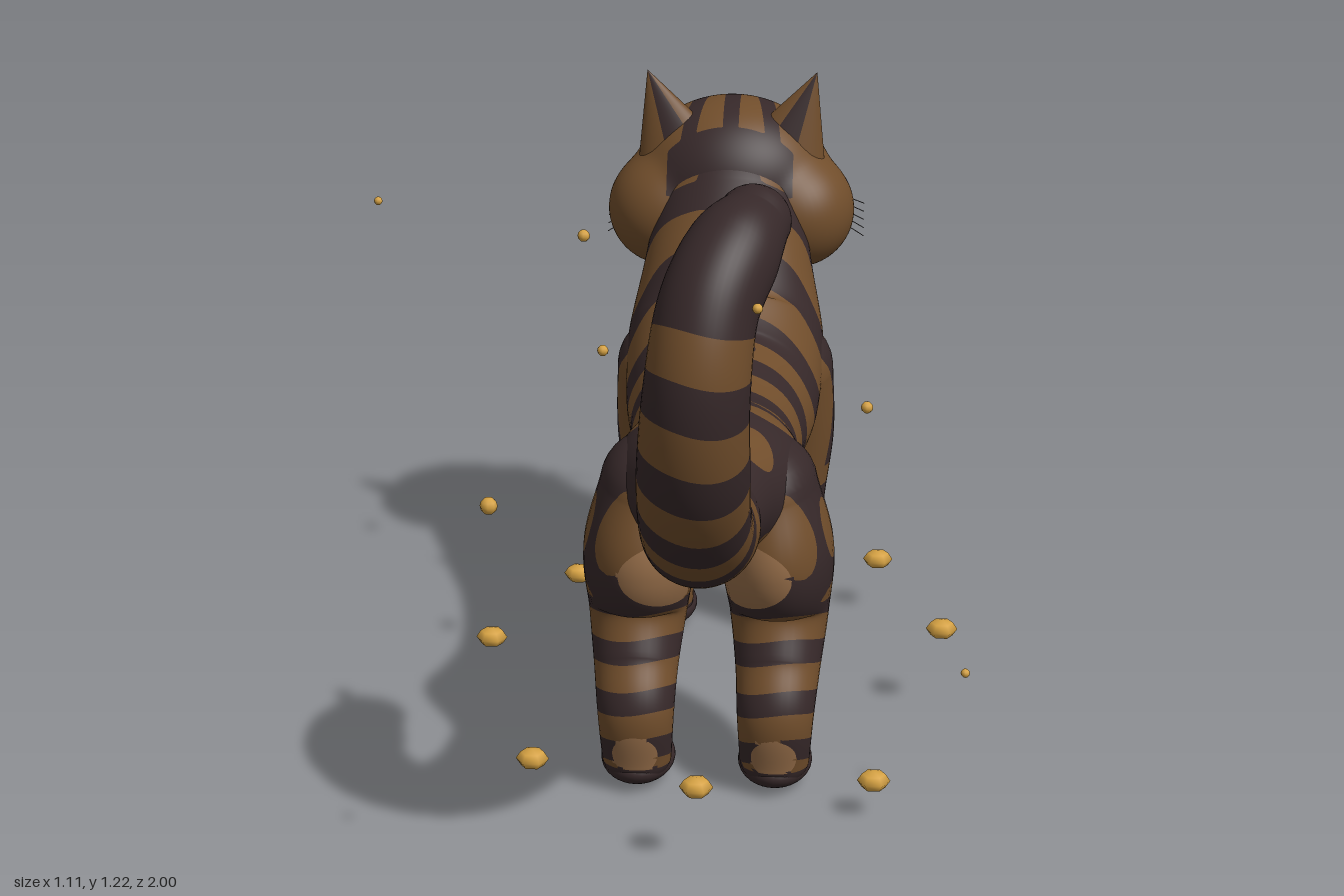
import * as THREE from 'three';
import { mergeVertices } from 'three/addons/utils/BufferGeometryUtils.js';

const CX = 0.097; // the cat's own midline
const flat = (name, color) => {
  const m = new THREE.MeshStandardMaterial({ color });
  m.name = name;
  return m;
};
const fur = flat('brown fur', 0x704d2b);
const stripe = flat('dark stripe', 0x362829);
const tan = flat('tan underside', 0x946c48);
const white = flat('white bib', 0xddd8d0);
const gold = flat('gold', 0xd6a243);
const eyeYellow = flat('eye yellow', 0xeab63c);
const pupil = flat('pupil black', 0x141010);
const pink = flat('nose pink', 0x8a564c);
const grey = flat('whisker grey', 0x555050);
const COAT = [fur, stripe, tan, white];

// Sort triangles into coat colours, cutting those that straddle a colour edge
function paint(geo, rule) {
  const idx = geo.index.array, { position, normal } = geo.attributes;
  const kind = (v) => rule(v.x - CX, v.y, v.z);
  const verts = Array.from({ length: position.count }, (_, i) => {
    const v = new THREE.Vector3().fromBufferAttribute(position, i);
    return { v, n: new THREE.Vector3().fromBufferAttribute(normal, i), k: kind(v) };
  });
  const cut = (a, b) => {
    let lo = 0, hi = 1;
    for (let i = 0; i < 8; i++) {
      const mid = (lo + hi) / 2;
      if (kind(a.v.clone().lerp(b.v, mid)) === a.k) lo = mid; else hi = mid;
    }
    return { v: a.v.clone().lerp(b.v, lo), n: a.n.clone().lerp(b.n, lo).normalize() };
  };
  const bins = COAT.map(() => []);
  for (let i = 0; i < idx.length; i += 3) {
    let [a, b, c] = [verts[idx[i]], verts[idx[i + 1]], verts[idx[i + 2]]];
    for (let r = 0; r < 2 && b.k !== c.k; r++) [a, b, c] = [b, c, a];
    if (a.k === b.k || b.k !== c.k) bins[a.k].push(a, b, c);
    else {
      const p = cut(a, b), q = cut(a, c);
      bins[a.k].push(a, p, q);
      bins[b.k].push(p, b, c, p, c, q);
    }
  }
  const out = new THREE.BufferGeometry(), all = bins.flat();
  out.setAttribute('position', new THREE.Float32BufferAttribute(all.flatMap((o) => o.v.toArray()), 3));
  out.setAttribute('normal', new THREE.Float32BufferAttribute(all.flatMap((o) => o.n.toArray()), 3));
  let start = 0;
  bins.forEach((bin, m) => {
    if (bin.length) out.addGroup(start, bin.length, m);
    start += bin.length;
  });
  return out;
}

// Smooth limb with round ends; each point is [dx, y, z, half width, half depth]
function limb(points, steps, sides) {
  const path = new THREE.CatmullRomCurve3(points.map((p) => new THREE.Vector3(CX + p[0], p[1], p[2])), false, 'catmullrom');
  const size = new THREE.CatmullRomCurve3(points.map((p) => new THREE.Vector3(p[3], p[4], 0)), false, 'catmullrom');
  const pos = [], idx = [], rings = [], CAP = 8;
  for (let k = 0; k < CAP; k++) rings.push([0, -Math.PI / 2 * (1 - k / CAP) * 0.99]);
  for (let i = 0; i <= steps; i++) rings.push([i / steps, 0]);
  for (let k = 1; k <= CAP; k++) rings.push([1, Math.PI / 2 * (k / CAP) * 0.99]);
  for (const [t, a] of rings) {
    const T = path.getTangent(t), r = size.getPoint(t), c = path.getPoint(t);
    const S = new THREE.Vector3(1, 0, 0).addScaledVector(T, -T.x).normalize();
    const U = T.clone().cross(S);
    c.addScaledVector(T, Math.sin(a) * Math.min(r.x, r.y));
    for (let j = 0; j < sides; j++) {
      const q = (j / sides) * Math.PI * 2;
      const v = c.clone().addScaledVector(S, Math.cos(q) * r.x * Math.cos(a)).addScaledVector(U, Math.sin(q) * r.y * Math.cos(a));
      pos.push(v.x, v.y, v.z);
    }
  }
  for (let i = 0; i < rings.length - 1; i++) for (let j = 0; j < sides; j++) {
    const a = i * sides + j, b = i * sides + (j + 1) % sides;
    idx.push(a, b, a + sides, b, b + sides, a + sides);
  }
  const g = new THREE.BufferGeometry();
  g.setAttribute('position', new THREE.Float32BufferAttribute(pos, 3));
  g.setIndex(idx);
  g.computeVertexNormals();
  return g;
}

// Head: a sphere pushed out to a soft union of skull, cheek and muzzle ellipsoids
function headGeometry() {
  const origin = new THREE.Vector3(0, 0.84, -0.72);
  const lobes = [[0, 0.86, -0.73, 0.19, 0.16, 0.163], [0.125, 0.81, -0.69, 0.112, 0.112, 0.115],
    [-0.125, 0.81, -0.69, 0.112, 0.112, 0.115], [0, 0.785, -0.835, 0.092, 0.058, 0.07]];
  let g = new THREE.SphereGeometry(1, 108, 80);
  g.deleteAttribute('uv');
  g.deleteAttribute('normal');
  g = mergeVertices(g);
  const p = g.attributes.position, d = new THREE.Vector3();
  for (let i = 0; i < p.count; i++) {
    d.fromBufferAttribute(p, i).normalize();
    let sum = 0;
    for (const [x, y, z, rx, ry, rz] of lobes) {
      const r = new THREE.Vector3(rx, ry, rz);
      const o = origin.clone().sub(new THREE.Vector3(x, y, z)).divide(r), e = d.clone().divide(r);
      const A = e.dot(e), B = o.dot(e), disc = B * B - A * (o.dot(o) - 1);
      if (disc > 0) sum += Math.exp(100 * (-B + Math.sqrt(disc)) / A);
    }
    d.multiplyScalar(Math.log(sum) / 100).add(origin);
    p.setXYZ(i, d.x + CX, d.y, d.z);
  }
  g.computeVertexNormals();
  return g;
}

const ball = (dx, y, z, rx, ry, rz, n) =>
  new THREE.SphereGeometry(1, n, Math.round(n * 0.75)).scale(rx, ry, rz).translate(CX + dx, y, z);
const inOval = (a, b, ra, rb) => (a / ra) ** 2 + (b / rb) ** 2 < 1;
const band = (s, period, cut) => Math.cos((2 * Math.PI * s) / period) > cut;
const underTail = (ax, y, z) => z > 0.15 && inOval(ax, y - 0.42, 0.15, 0.075);

// Coat rules
function bodyCoat(dx, y, z) {
  const ax = Math.abs(dx), front = z < -0.55 - 0.6 * (y - 0.47);
  if (front && y > 0.48 && ax < 0.05) return 3;
  if ((front && y > 0.46 && ax < 0.085) || underTail(ax, y, z)) return 2;
  if (z > -0.42 && (y < 0.425 + 0.015 * Math.sin(34 * z) || inOval(z + 0.28, y - 0.45, 0.03, 0.04) || inOval(z + 0.36, y - 0.44, 0.025, 0.04))) return 2;
  if (ax < 0.045 + 0.02 * Math.sin(42 * z) && y > 0.6 && z > -0.62 + (y - 0.7) * 0.1) return 1;
  if (z > 0.02 && y > 0.45) return inOval(ax - 0.1, z - 0.08, 0.045, 0.03) || inOval(ax - 0.08, z - 0.22, 0.035, 0.05) ? 0 : 1;
  const s = z - 0.24 * (y - 0.55) + 0.05 + 0.014 * Math.sin(24 * y + 9 * z);
  return band(s, 0.145, y > 0.48 ? 0.1 : 0.4) ? 1 : 0;
}
function hindCoat(dx, y, z) {
  const ax = Math.abs(dx);
  if (y < 0.05) return 1;
  if (underTail(ax, y, z) || (z > 0.2 && inOval(ax - 0.122, y - 0.08, 0.04, 0.04))) return 2;
  if (y > 0.34 + 0.15 * (z - 0.1)) {
    const spot = inOval(z - 0.14, y - 0.48, 0.035, 0.055) || inOval(z - 0.24, y - 0.5, 0.035, 0.08)
      || inOval(z, y - 0.4, 0.02, 0.06) || inOval(z - 0.13, y - 0.35, 0.05, 0.025);
    return spot ? 0 : 1;
  }
  return band(y - 0.25 * (z - 0.15) - 0.16 + 0.006 * Math.sin(30 * dx), 0.09, 0.1) ? 1 : 0;
}
function foreCoat(dx, y, z) {
  if (y < 0.055) return 1;
  if (y > 0.36) return bodyCoat(dx, Math.max(y, 0.49), z);
  return band(y + 0.15 * (z + 0.53) - 0.12 + 0.006 * Math.sin(30 * dx), 0.09, 0.1) ? 1 : 0;
}
function headCoat(dx, y, z) {
  const ax = Math.abs(dx);
  if (y < 0.79 - 0.4 * ax && ax < 0.05 && z < -0.7) return 3;
  const streak = Math.min(ax, Math.abs(ax - 0.055 - 0.15 * (z + 0.8)));
  if (y > 0.92 && z > -0.83 && streak < 0.015) return 1;
  if (ax < 0.12 && z > -0.63 && y > 0.86) return 1;
  if (ax > 0.09 && z > -0.86 && z < -0.69 && Math.abs(y - 0.85 - 0.22 * (z + 0.77)) < 0.005) return 1;
  return 0;
}

export function createModel() {
  const root = new THREE.Group();
  const add = (name, geo, mat, parent = root) => {
    const m = new THREE.Mesh(geo, mat);
    m.name = name;
    parent.add(m);
    return m;
  };
  const coated = (name, geo, rule) => add(name, paint(geo, rule), COAT);

  // Torso and neck, from rump to skull
  coated('body', limb([
    [0, 0.572, 0.36, 0.085, 0.085], [0, 0.57, 0.26, 0.12, 0.11], [0, 0.553, 0.12, 0.17, 0.137], [0, 0.535, -0.05, 0.15, 0.132],
    [0, 0.53, -0.2, 0.16, 0.143], [0, 0.535, -0.36, 0.18, 0.163], [0, 0.61, -0.5, 0.185, 0.17],
    [0, 0.73, -0.58, 0.16, 0.138], [0, 0.83, -0.66, 0.14, 0.12],
  ], 130, 72), bodyCoat);

  // Tail, banded along its sweep around the curl
  coated('tail', limb([
    [0, 0.57, 0.24, 0.09, 0.09], [0, 0.565, 0.36, 0.1, 0.1], [0, 0.605, 0.48, 0.095, 0.093], [0, 0.68, 0.59, 0.092, 0.09],
    [0.003, 0.79, 0.675, 0.09, 0.088], [0.01, 0.93, 0.71, 0.084, 0.087], [0.025, 1.05, 0.685, 0.08, 0.083],
    [0.06, 1.125, 0.625, 0.077, 0.077], [0.09, 1.158, 0.56, 0.06, 0.058],
  ], 110, 48), (dx, y, z) => {
    const angle = Math.atan2(y - 0.93, z - 0.38);
    if (angle > 0.36) return 1;
    return band(angle + 0.02 + 0.03 * Math.sin(20 * dx), 0.4, 0) ? 1 : 0;
  });

  coated('head', headGeometry(), headCoat);
  add('nose', ball(0, 0.812, -0.895, 0.018, 0.01, 0.012, 16), pink);

  for (const [side, s] of [['left', 1], ['right', -1]]) {
    // Legs and paws
    coated(side + 'HindLeg', limb([
      [s * 0.105, 0.55, 0.12, 0.085, 0.115], [s * 0.12, 0.43, 0.115, 0.1, 0.145], [s * 0.125, 0.31, 0.1, 0.088, 0.1],
      [s * 0.125, 0.22, 0.155, 0.075, 0.072], [s * 0.123, 0.15, 0.2, 0.068, 0.06], [s * 0.122, 0.06, 0.19, 0.062, 0.053],
    ], 80, 36), hindCoat);
    coated(side + 'ForeLeg', limb([
      [s * 0.11, 0.56, -0.48, 0.095, 0.1], [s * 0.12, 0.42, -0.51, 0.088, 0.085], [s * 0.122, 0.28, -0.525, 0.07, 0.07],
      [s * 0.122, 0.15, -0.53, 0.063, 0.063], [s * 0.122, 0.06, -0.53, 0.06, 0.06],
    ], 80, 36), foreCoat);
    add(side + 'HindPaw', ball(s * 0.122, 0.038, 0.147, 0.066, 0.038, 0.096, 32), stripe);
    add(side + 'ForePaw', ball(s * 0.122, 0.038, -0.555, 0.066, 0.038, 0.093, 32), stripe);

    // Ear, a broad cone sheared outwards, with a dark streak
    const ear = new THREE.ConeGeometry(1, 0.2, 40, 16).scale(0.115, 1, 0.052).translate(0, 0.1, 0);
    ear.applyMatrix4(new THREE.Matrix4().makeShear(0, 0, s * 0.48, 0, 0, 0));
    ear.translate(CX + s * 0.066, 0.882, -0.685);
    coated(side + 'Ear', ear, (dx, y) => (Math.abs(Math.abs(dx) - 0.066 - 0.48 * (y - 0.882)) < 0.22 * (1.082 - y) ? 1 : 0));

    // Eye set flush with the face
    const eye = new THREE.Group();
    eye.name = side + 'Eye';
    add('rim', ball(-CX, 0.003, 0, 0.037, 0.026, 0.011, 24), white, eye);
    add('iris', ball(-CX, -0.003, 0.004, 0.031, 0.021, 0.01, 24), eyeYellow, eye);
    add('slit', ball(-CX, -0.003, 0.011, 0.004, 0.011, 0.004, 12), pupil, eye);
    eye.position.set(CX + s * 0.087, 0.9, -0.87);
    eye.lookAt(CX + s * 2.447, 2.46, -6.07);
    root.add(eye);

    // Whiskers
    for (let k = 0; k < 5; k++) {
      const curve = new THREE.QuadraticBezierCurve3(
        new THREE.Vector3(CX + s * 0.05, 0.77 + k * 0.005, -0.885),
        new THREE.Vector3(CX + s * 0.15, 0.765 + k * 0.008, -0.9 - k * 0.006),
        new THREE.Vector3(CX + s * 0.255, 0.7 + k * 0.013, -0.88 - k * 0.013));
      add(side + 'Whisker', new THREE.TubeGeometry(curve, 10, 0.0009, 4), grey);
    }
  }

  // Ring of eight flattened beads around the cat: [x, y, z]
  [[CX, 0.145, 0.495], [0.395, 0.07, 0.295], [0.515, 0.16, -0.17], [0.395, 0.107, -0.635],
    [CX, 0.165, -0.82], [-0.2, 0.06, -0.635], [-0.322, 0.12, -0.17], [-0.2, 0.094, 0.295]].forEach(([x, y, z]) =>
    add('ringBead', new THREE.SphereGeometry(0.029, 6, 4).scale(1, 0.62, 1).translate(x, y, z), gold));

  // Floating motes: [x, y, z, radius]
  [[-0.55, 0.89, -0.418, 0.008], [0.21, 1.155, 0.992, 0.008], [0.37, 0.83, 0.497, 0.01], [0.083, 0.84, -0.035, 0.015],
    [-0.18, 0.782, -0.575, 0.012], [0.285, 0.76, -0.94, 0.009], [0.085, 0.65, -0.985, 0.013], [-0.14, 0.57, -0.52, 0.011],
    [-0.29, 0.495, 0.117, 0.016], [0.548, 0.27, 0.277, 0.008], [0.12, 0.33, -0.5, 0.009], [0.053, 0.272, -0.15, 0.012]].forEach(([x, y, z, r]) =>
    add('mote', new THREE.SphereGeometry(r, 8, 6).translate(x, y, z), gold));

  return root;
}
